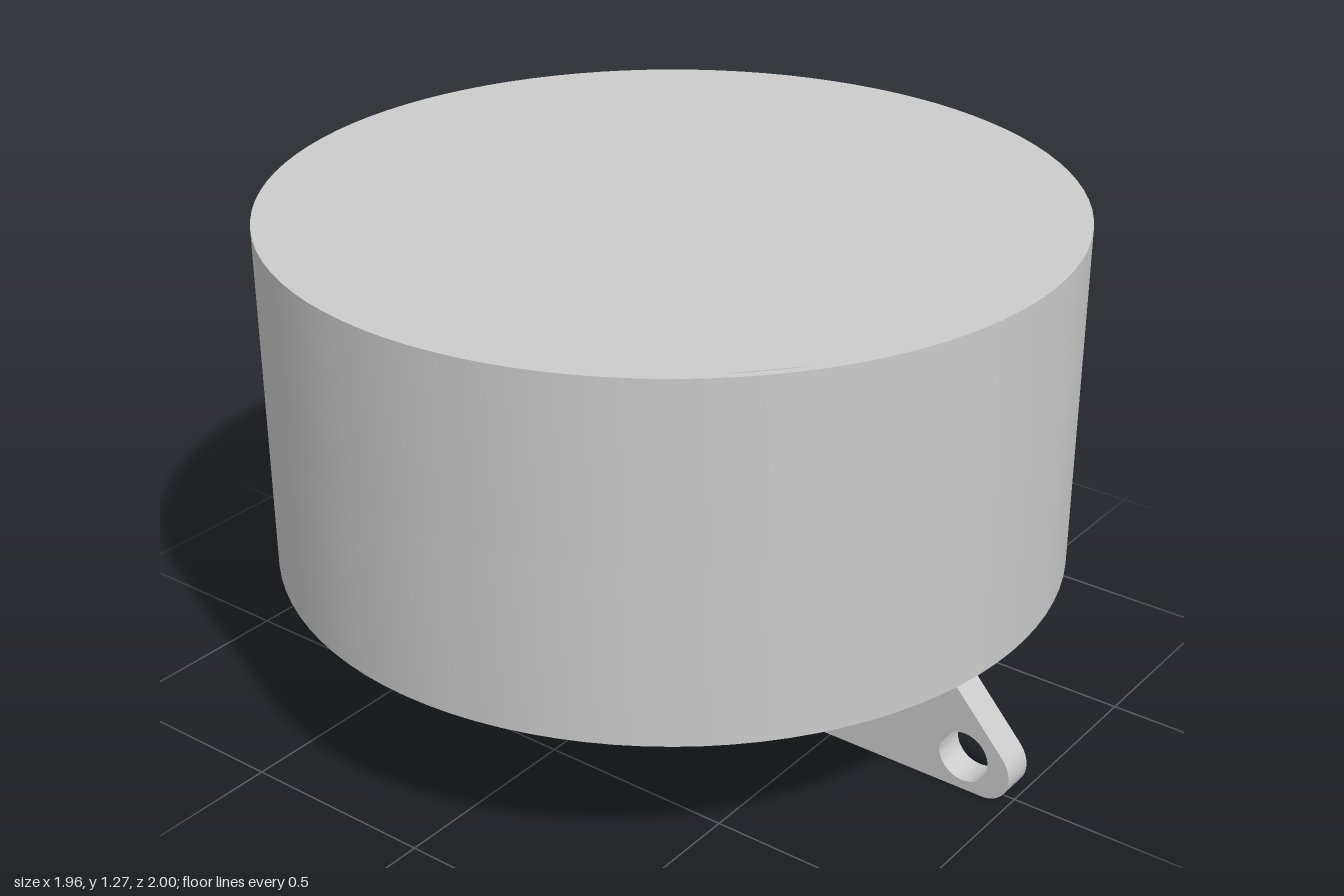
import * as THREE from 'three';
import { toCreasedNormals } from 'three/addons/utils/BufferGeometryUtils.js';

const PI = Math.PI;
const grey = new THREE.MeshStandardMaterial({ color: 0xcccccc });

function extrude(shape, depth) {
  return new THREE.ExtrudeGeometry(shape, { depth, bevelEnabled: false, curveSegments: 48 });
}

function addMesh(parent, name, geometry) {
  const mesh = new THREE.Mesh(geometry, grey);
  mesh.name = name;
  parent.add(mesh);
  return mesh;
}

// A horizontal disc with one cut-out, hanging down from yTop
function cutDisc(parent, name, cutout, yTop, height) {
  const shape = new THREE.Shape();
  shape.absarc(0, 0, 0.982, 0, 2 * PI, false);
  shape.holes.push(cutout);
  const geometry = toCreasedNormals(extrude(shape, height).rotateX(PI / 2), 0.5);
  addMesh(parent, name, geometry).position.y = yTop;
}

export function createModel() {
  const model = new THREE.Group();
  model.name = 'slottedDrum';

  const drum = new THREE.Group();
  drum.name = 'drum';
  drum.position.z = -0.018;
  model.add(drum);

  // Upper half: narrow wedge-shaped cut in the top
  const a0 = Math.atan2(0.782, -0.56), a1 = Math.atan2(0.662, -0.7);
  const wedge = new THREE.Path();
  wedge.moveTo(0.42, -0.868);
  wedge.absarc(0, 0, 0.963, a0, a1, false);
  wedge.closePath();
  cutDisc(drum, 'upperDrum', wedge, 1.275, 0.435);

  // Lower half: long blade slot with a filleted side branch for the button
  const slot = new THREE.Path();
  slot.moveTo(-0.13, -0.74);
  slot.absarc(0.0175, -0.74, 0.1475, PI, 2 * PI, false);
  slot.absarc(0.295, 0.05, 0.13, PI, PI / 2, true);
  slot.absarc(0.4, 0.327, 0.147, -PI / 2, PI / 2, false);
  slot.absarc(0.295, 0.604, 0.13, -PI / 2, -PI, true);
  slot.absarc(0.0175, 0.66, 0.1475, 0, PI, false);
  slot.closePath();
  cutDisc(drum, 'lowerDrum', slot, 0.84, 0.442);

  // Blade profile in (z, y), with an eyelet at the front tip
  const profile = new THREE.Shape();
  profile.moveTo(-0.6, 0);
  profile.lineTo(0.93, 0);
  profile.bezierCurveTo(0.97, 0, 1, 0.03, 1, 0.07);
  profile.quadraticCurveTo(1, 0.1, 0.98, 0.125);
  profile.lineTo(0.735, 0.398);
  profile.lineTo(0.66, 0.48);
  profile.lineTo(0.66, 0.8);
  profile.lineTo(-0.85, 0.8);
  profile.lineTo(-0.85, 0.47);
  profile.lineTo(-0.79, 0.17);
  profile.bezierCurveTo(-0.77, 0.07, -0.69, 0, -0.6, 0);
  const eyelet = new THREE.Path();
  eyelet.absarc(0.876, 0.09, 0.066, 0, 2 * PI, true);
  profile.holes.push(eyelet);
  const bladeGeometry = extrude(profile, 0.084).rotateY(-PI / 2);
  addMesh(model, 'blade', toCreasedNormals(bladeGeometry, 0.5)).position.x = 0.047;

  // Round button with softened edges and a narrower stem
  const outline = [[0, 0.335], [0.115, 0.335], [0.125, 0.34], [0.129, 0.35],
    [0.129, 0.37], [0.125, 0.38], [0.115, 0.386], [0.094, 0.386], [0.094, 0.84]]
    .map(([r, y]) => new THREE.Vector2(r, y));
  const button = toCreasedNormals(new THREE.LatheGeometry(outline, 48), 0.7);
  addMesh(model, 'button', button).position.set(0.405, 0, 0.31);

  return model;
}
